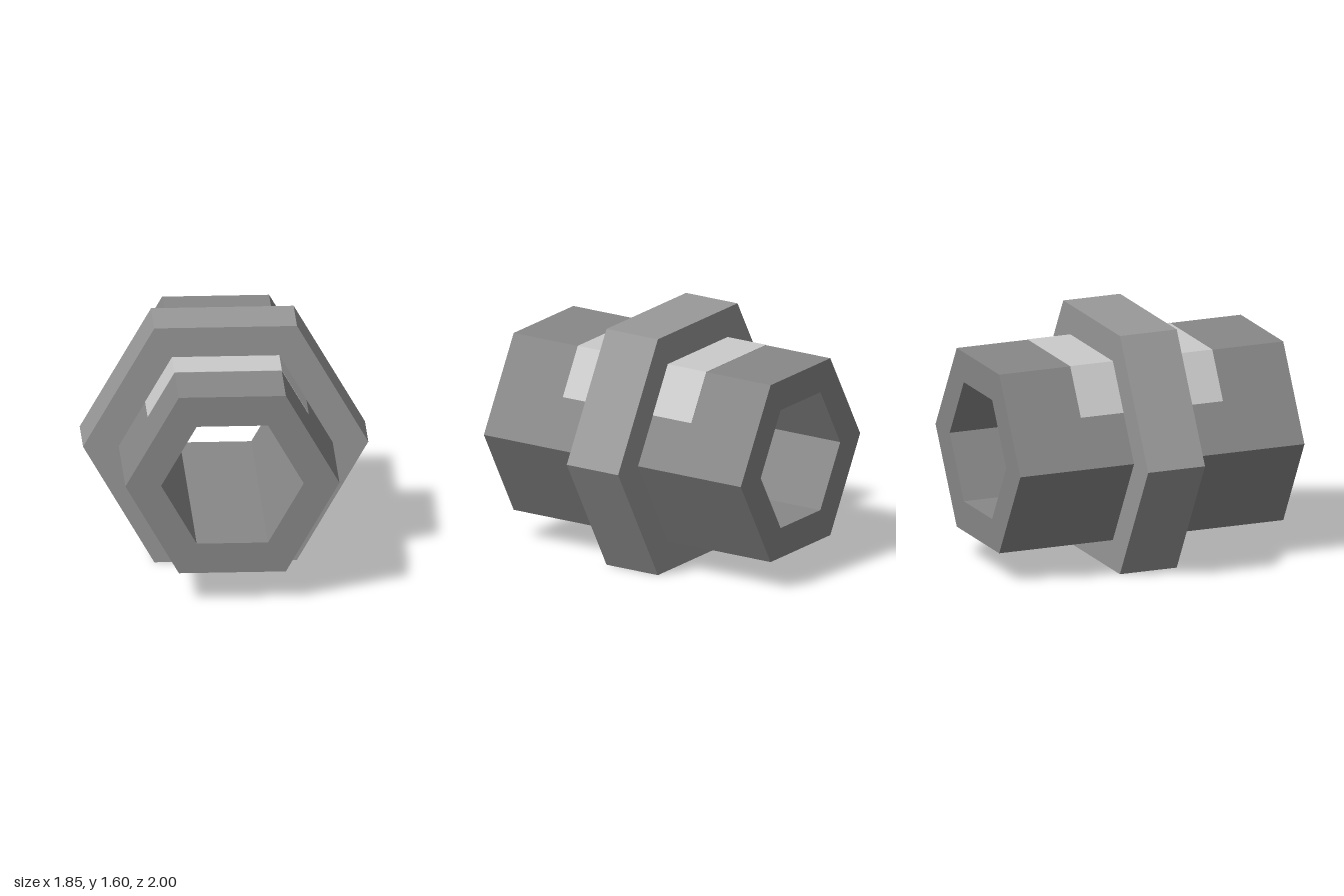
import * as THREE from 'three';

const CENTRE_Y = 0.8;

// Corners of a flat-topped hexagon, given the distance from centre to flat
function hexPoints(apothem) {
  const r = apothem / Math.cos(Math.PI / 6);
  return Array.from({ length: 6 }, (_, i) => {
    const a = (i * Math.PI) / 3;
    return new THREE.Vector2(r * Math.cos(a), r * Math.sin(a));
  });
}

// Extrudes a shape along z, centred on z = 0
function prism(name, shape, depth, color) {
  const geometry = new THREE.ExtrudeGeometry(shape, { depth, bevelEnabled: false });
  geometry.translate(0, CENTRE_Y, -depth / 2);
  const mesh = new THREE.Mesh(geometry, new THREE.MeshStandardMaterial({ color, flatShading: true }));
  mesh.name = name;
  return mesh;
}

function hexRing(outer, inner) {
  const shape = new THREE.Shape(hexPoints(outer));
  shape.holes.push(new THREE.Path(hexPoints(inner)));
  return shape;
}

// Half-hexagon band over the top of the tube, cut off level at height y
function saddleShape(outer, inner, y) {
  const slope = Math.tan(Math.PI / 6);
  const edge = (apothem) => [
    [(2 * apothem - y) * slope, y],
    [apothem * slope, apothem],
    [-apothem * slope, apothem],
    [-(2 * apothem - y) * slope, y],
  ];
  const points = [...edge(outer), ...edge(inner).reverse()];
  return new THREE.Shape(points.map(([px, py]) => new THREE.Vector2(px, py)));
}

export function createModel() {
  const model = new THREE.Group();
  model.name = 'hexagonalCoupling';

  // Open hexagonal tube running front to back
  model.add(prism('tube', hexRing(0.6, 0.4), 2, 0x888888));

  // Wider collar around the middle
  model.add(prism('collar', hexRing(0.8, 0.55), 0.4, 0x999999));

  // Pale inlay over the upper faces, almost flush with the tube
  model.add(prism('topInlay', saddleShape(0.602, 0.55, 0.3), 1, 0xc0c0c0));

  return model;
}
